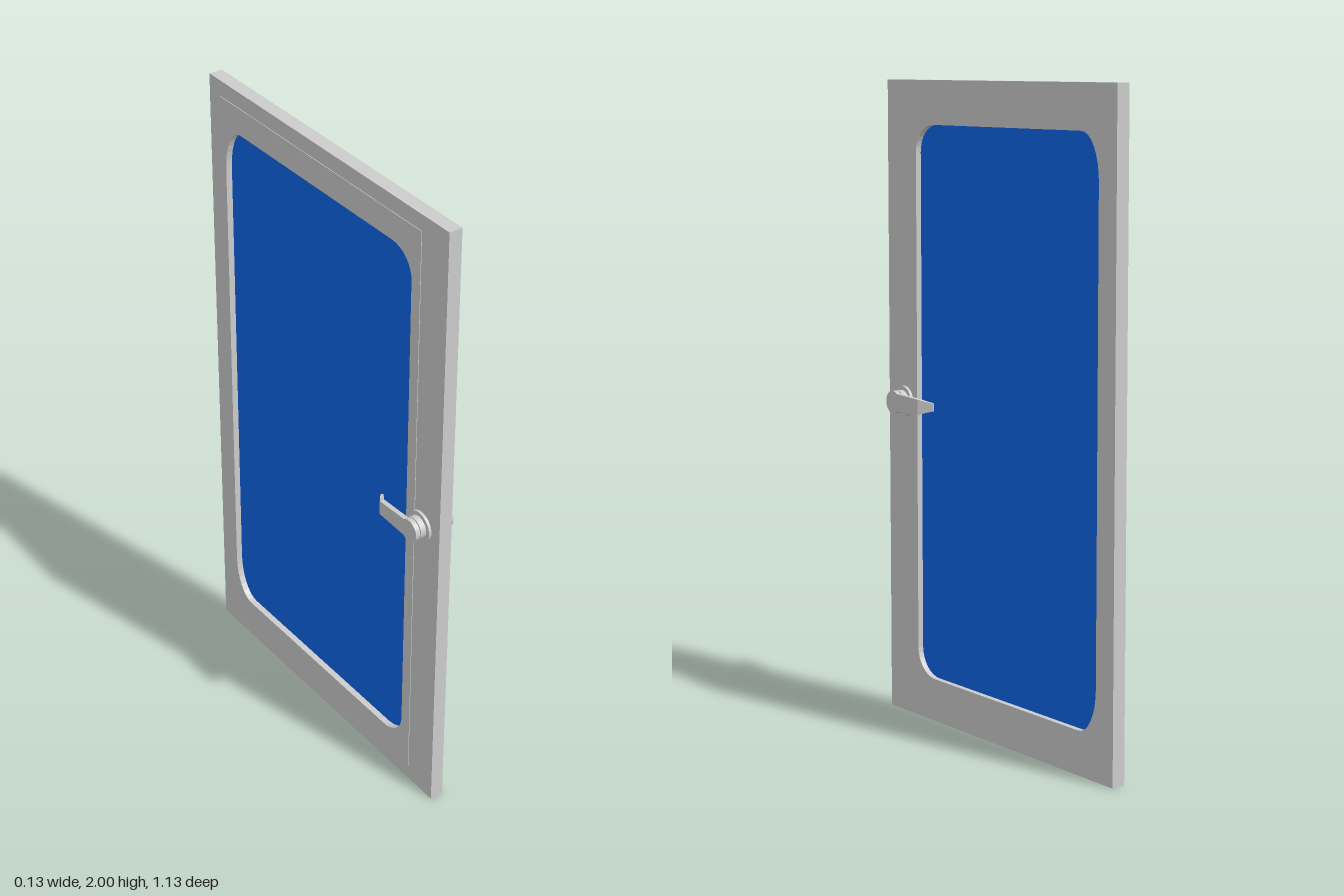
import * as THREE from 'three';

const grey = new THREE.MeshStandardMaterial({ color: 0xcccccc });
const blue = new THREE.MeshStandardMaterial({ color: 0x0f66e6 });

// Outlines are drawn with u = -z and v = y, then extruded along x.
function extrudeX(shape, x0, x1, segments = 4) {
  return new THREE.ExtrudeGeometry(shape, { depth: x1 - x0, bevelEnabled: false, curveSegments: segments })
    .rotateY(Math.PI / 2).translate(x0, 0, 0);
}

function addMesh(parent, name, geometry, material = grey) {
  const mesh = new THREE.Mesh(geometry, material);
  mesh.name = name;
  parent.add(mesh);
  return mesh;
}

function rectangle(u0, u1, v0, v1) {
  return new THREE.Shape([[u0, v0], [u1, v0], [u1, v1], [u0, v1]].map(p => new THREE.Vector2(...p)));
}

// Window outline: small corners on the latch side, tall corners on the hinge side
function windowOutline() {
  const [u0, u1, v0, v1] = [-0.412, 0.486, 0.135, 1.865];
  const [a, b, c, d] = [0.09, 0.085, 0.08, 0.14];
  const s = new THREE.Shape();
  s.moveTo(u0 + a, v0);
  s.lineTo(u1 - c, v0);
  s.absellipse(u1 - c, v0 + d, c, d, -Math.PI / 2, 0, false);
  s.lineTo(u1, v1 - d);
  s.absellipse(u1 - c, v1 - d, c, d, 0, Math.PI / 2, false);
  s.lineTo(u0 + a, v1);
  s.absellipse(u0 + a, v1 - b, a, b, Math.PI / 2, Math.PI, false);
  s.lineTo(u0, v0 + b);
  s.absellipse(u0 + a, v0 + b, a, b, Math.PI, Math.PI * 1.5, false);
  return s;
}

// Handle on the +x side, centred on y = 0, with x measured from the door face
function createHandle() {
  const handle = new THREE.Group();
  const z = 0.482;
  const discs = [['rosette', 0.049, 0, 0.009], ['neck', 0.036, 0.009, 0.027], ['spindle', 0.031, 0.027, 0.031]];
  for (const [name, radius, x0, x1] of discs) {
    addMesh(handle, name, new THREE.CylinderGeometry(radius, radius, x1 - x0, 32)
      .rotateZ(Math.PI / 2).translate((x0 + x1) / 2, 0, z));
  }

  // Lever: round head tapering into a flat arm
  const arm = new THREE.Shape();
  const start = 0.9;
  arm.absarc(-z, 0, 0.036, start, Math.PI * 2 - start, false);
  arm.lineTo(-0.345, -0.023);
  arm.lineTo(-0.345, 0.023);
  arm.closePath();
  addMesh(handle, 'leverArm', extrudeX(arm, 0.030, 0.045, 24));

  // Lever tip: a box bent in towards the door and narrowed at its end
  const tip = new THREE.BoxGeometry(1, 1, 1).toNonIndexed();
  const p = tip.attributes.position;
  for (let i = 0; i < p.count; i++) {
    const outer = p.getX(i) > 0, end = p.getZ(i) < 0, side = Math.sign(p.getY(i));
    if (end) p.setXYZ(i, outer ? 0.013 : 0.006, side * 0.012, outer ? 0.306 : 0.312);
    else p.setXYZ(i, outer ? 0.045 : 0.030, side * 0.023, 0.345);
  }
  tip.computeVertexNormals();
  addMesh(handle, 'leverTip', tip);
  return handle;
}

export function createModel() {
  const door = new THREE.Group();
  door.name = 'door';

  // Door leaf with window opening
  const leaf = rectangle(-0.565, 0.565, 0, 2);
  leaf.holes.push(windowOutline());
  addMesh(door, 'doorLeaf', extrudeX(leaf, -0.022, 0.021));

  // Thin facing plate on the -x side
  const plate = rectangle(-0.45, 0.51, 0.05, 1.95);
  plate.holes.push(windowOutline());
  addMesh(door, 'facingPlate', extrudeX(plate, -0.024, -0.022));

  // Window pane, recessed from both faces
  addMesh(door, 'windowPane', extrudeX(windowOutline(), -0.004, 0.003), blue);

  // A matching handle on each face
  for (const side of [1, -1]) {
    const handle = createHandle();
    handle.name = side > 0 ? 'leftHandle' : 'rightHandle';
    handle.position.set(side > 0 ? 0.021 : -0.024, 1, 0);
    if (side < 0) handle.rotation.z = Math.PI;
    door.add(handle);
  }
  return door;
}
